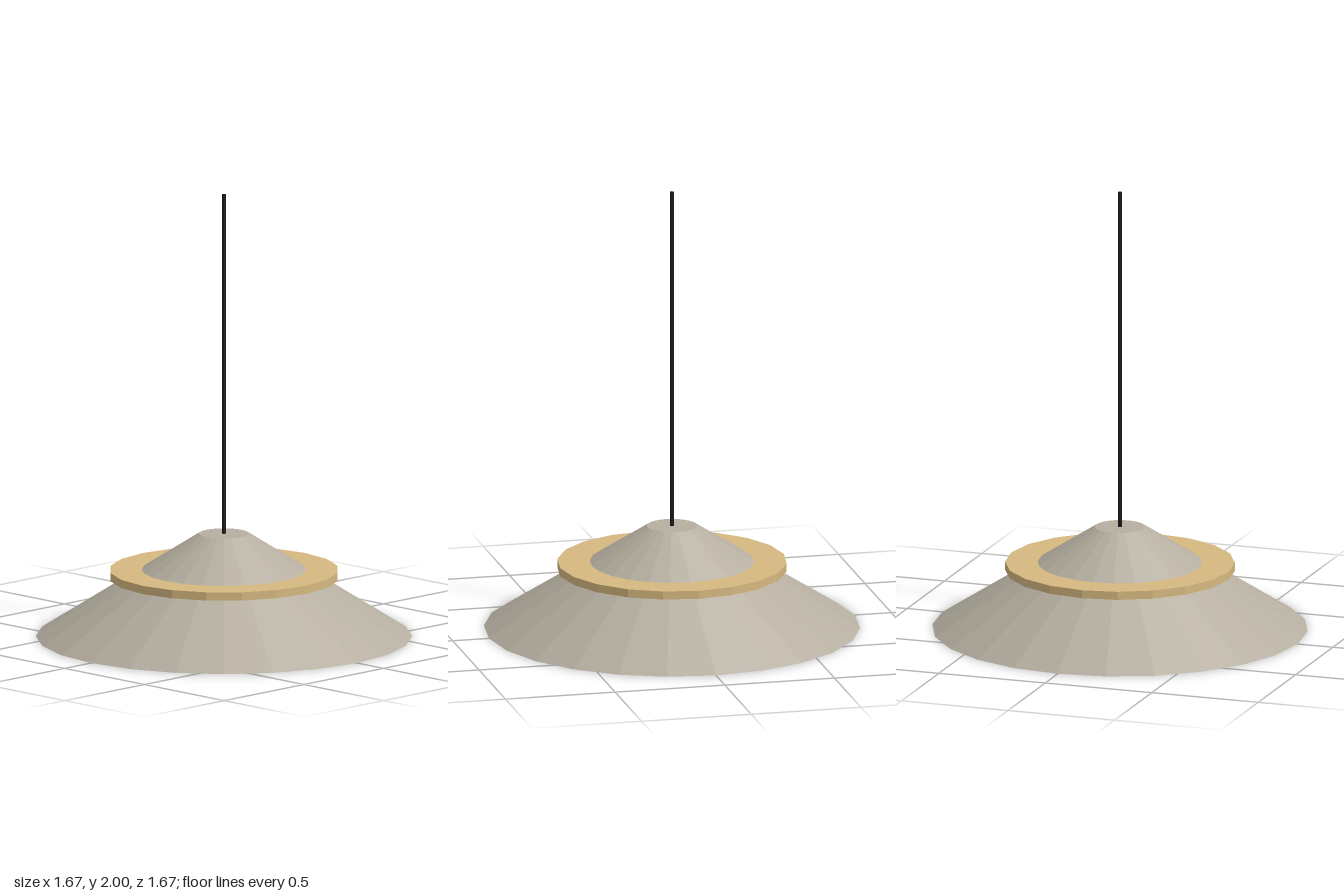
import * as THREE from 'three';

export function createModel() {
  const model = new THREE.Group();
  model.name = 'pendantLamp';

  const material = (name, color) => {
    const m = new THREE.MeshStandardMaterial({ color, flatShading: true });
    m.name = name;
    return m;
  };
  const stone = material('warm grey', 0xb5aea0);
  const brass = material('brass', 0xd6b880);
  const black = material('cord black', 0x1a1a1e);

  // Closed round part spanning y0 to y1
  const addRound = (name, rTop, rBottom, y0, y1, sides, mat) => {
    const mesh = new THREE.Mesh(new THREE.CylinderGeometry(rTop, rBottom, y1 - y0, sides), mat);
    mesh.name = name;
    mesh.position.y = (y0 + y1) / 2;
    model.add(mesh);
  };

  // Faceted conical shade, closed at both ends
  addRound('shade', 0.112, 0.834, 0, 0.465, 24, stone);
  // Flat disc passing through the shade
  addRound('ring', 0.51, 0.51, 0.265, 0.302, 20, brass);
  // Hanging cord
  addRound('cord', 0.0093, 0.0093, 0.465, 2, 8, black);

  return model;
}
